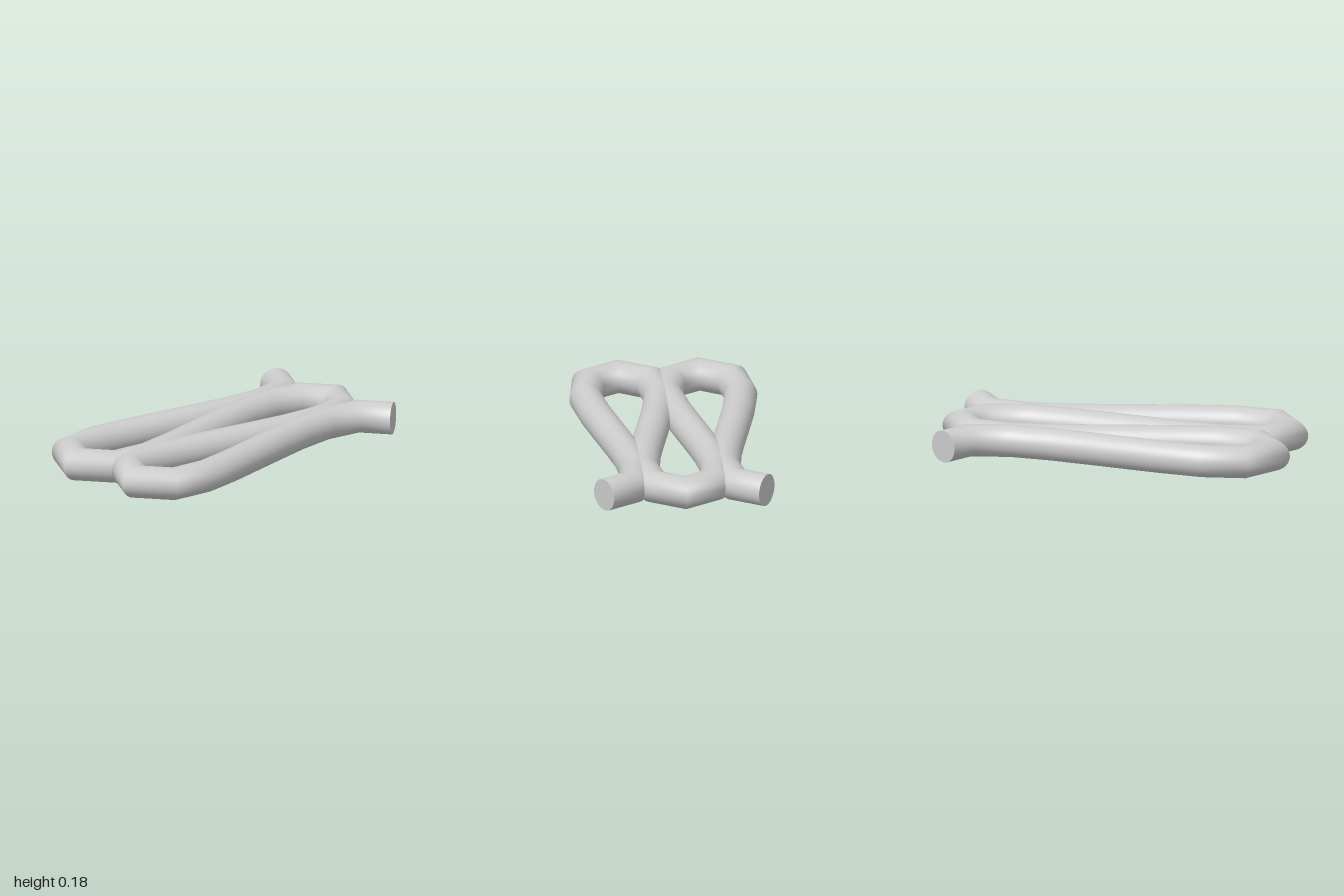
import * as THREE from 'three';

const RADIUS = 0.089, SIDES = 40;

// Centreline [x, z]: one outer strand, mirrored about each hairpin to fold the whole coil
function centreline() {
  const mid = 0.222;
  const outer = [
    [0.892, 0.446], [0.786, 0.282], [0.56, 0.242], [0.33, 0.265], [0.11, 0.306],
    [-0.1, 0.348], [-0.32, 0.391], [-0.56, 0.425], [-0.78, 0.397],
  ];
  const inner = outer.slice(1).reverse().map(([x, z]) => [x, 2 * mid - z]);
  const half = [...outer, [-0.894, mid], ...inner];
  const otherHalf = half.slice().reverse().map(([x, z]) => [x, -z]);
  return [...half, [0.892, 0], ...otherHalf].map(([x, z]) => new THREE.Vector3(x, RADIUS, z));
}

// Rings across each bend, stretched sideways so the straight runs keep their thickness
function mitredRings(path) {
  const up = new THREE.Vector3(0, 1, 0);
  return path.map((p, i) => {
    const before = p.clone().sub(path[Math.max(i - 1, 0)]).normalize();
    const after = path[Math.min(i + 1, path.length - 1)].clone().sub(p).normalize();
    const tangent = before.clone().add(after).normalize();
    const run = i === 0 ? after : before;
    const side = tangent.clone().cross(up).normalize();
    const stretch = 1 / tangent.dot(run);
    return Array.from({ length: SIDES }, (_, k) => {
      const a = (k / SIDES) * Math.PI * 2;
      return p.clone()
        .addScaledVector(side, Math.cos(a) * RADIUS * stretch)
        .addScaledVector(up, Math.sin(a) * RADIUS);
    });
  });
}

// Skin over the rings, facing outward
function pipeGeometry(rings) {
  const index = [];
  for (let i = 0; i < rings.length - 1; i++) {
    for (let k = 0; k < SIDES; k++) {
      const n = (k + 1) % SIDES;
      const a = i * SIDES + k, b = i * SIDES + n;
      const c = a + SIDES, d = b + SIDES;
      index.push(a, c, b, b, c, d);
    }
  }
  const geometry = new THREE.BufferGeometry().setFromPoints(rings.flat());
  geometry.setIndex(index);
  geometry.computeVertexNormals();
  return geometry;
}

export function createModel() {
  const group = new THREE.Group();
  group.name = 'foldedPipe';
  const metal = new THREE.MeshStandardMaterial({ color: 0xcccccc });
  metal.name = 'light grey';

  // Folded pipe
  const path = centreline();
  const pipe = new THREE.Mesh(pipeGeometry(mitredRings(path)), metal);
  pipe.name = 'pipe';
  group.add(pipe);

  // Flat discs closing both ends
  const ends = [['leftFrontEnd', path[0], path[1]], ['leftBackEnd', path.at(-1), path.at(-2)]];
  for (const [name, end, next] of ends) {
    const cap = new THREE.Mesh(new THREE.CircleGeometry(RADIUS, SIDES), metal);
    cap.name = name;
    cap.position.copy(end);
    cap.lookAt(end.clone().multiplyScalar(2).sub(next));
    group.add(cap);
  }
  return group;
}
